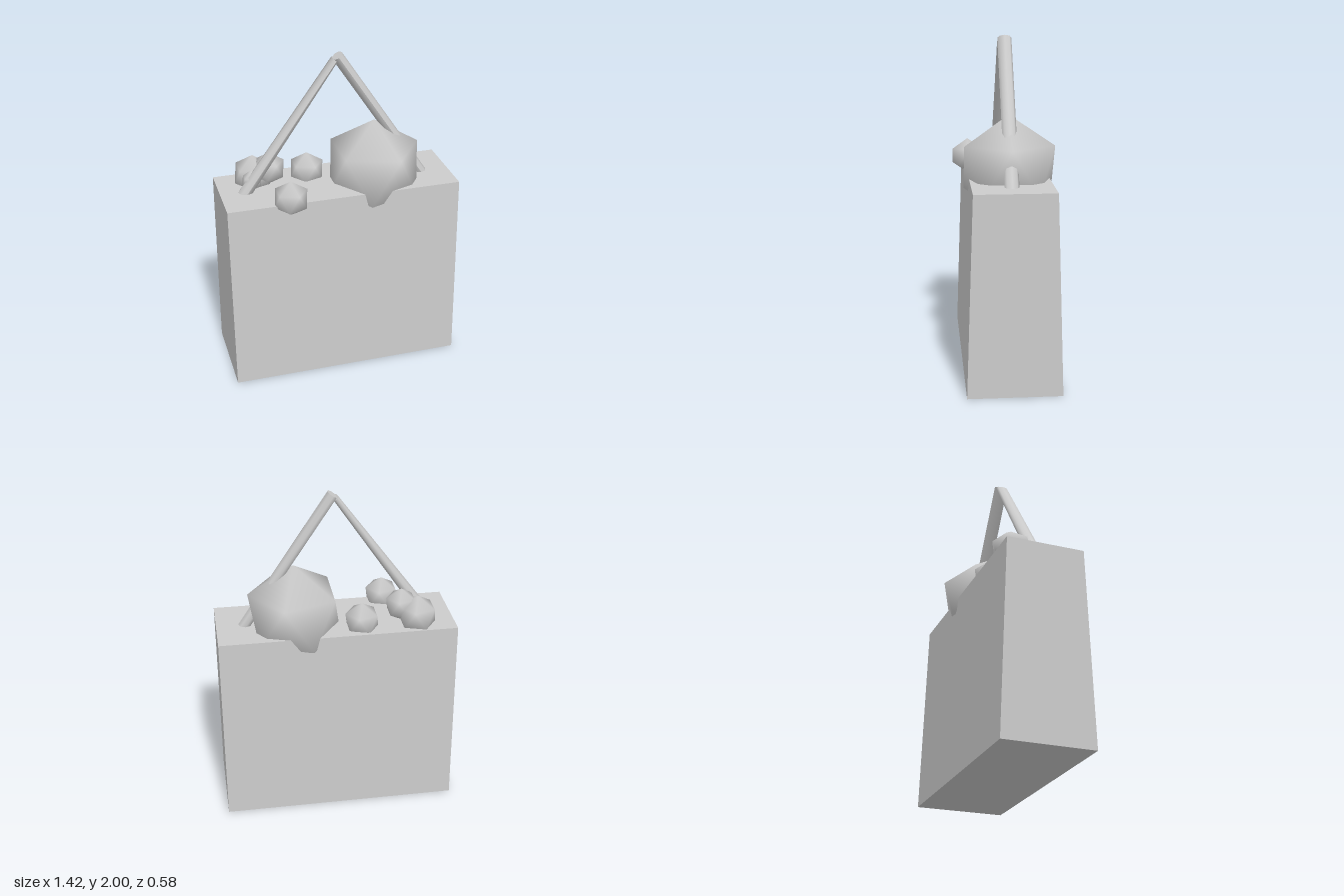
import * as THREE from 'three';
import { mergeVertices } from 'three/addons/utils/BufferGeometryUtils.js';

const material = new THREE.MeshStandardMaterial({ color: 0xcccccc });
const MID_Z = -0.02;

function addMesh(group, name, geometry) {
  const mesh = new THREE.Mesh(geometry, material);
  mesh.name = name;
  group.add(mesh);
  return mesh;
}

// Bag body: a box whose front and back lean inward toward the top
function bodyGeometry() {
  const height = 1.185;
  const geometry = new THREE.BoxGeometry(1.42, height, 0.55);
  const p = geometry.attributes.position;
  for (let i = 0; i < p.count; i++) {
    if (p.getY(i) > 0) p.setZ(i, p.getZ(i) * 0.855);
  }
  geometry.translate(0, height / 2, MID_Z);
  geometry.computeVertexNormals();
  return geometry;
}

// Smooth-shaded icosahedron standing on a vertex
function ballGeometry(radius) {
  let geometry = new THREE.IcosahedronGeometry(radius, 0);
  geometry.deleteAttribute('uv');
  geometry.deleteAttribute('normal');
  geometry = mergeVertices(geometry, 1e-4);
  geometry.rotateZ(-Math.atan2(1, (1 + Math.sqrt(5)) / 2));
  geometry.computeVertexNormals();
  return geometry;
}

// Straight strap from top to bottom: thickness tapers in the xy plane, depth stays even
function strapGeometry(top, bottom, topRadius, bottomRadius) {
  const dx = top[0] - bottom[0], dy = top[1] - bottom[1];
  const length = Math.hypot(dx, dy);
  const geometry = new THREE.CylinderGeometry(topRadius, bottomRadius, length, 8, 1);
  const p = geometry.attributes.position;
  for (let i = 0; i < p.count; i++) {
    const radius = p.getY(i) > 0 ? topRadius : bottomRadius;
    p.setZ(i, (p.getZ(i) / radius) * 0.042);
  }
  geometry.computeVertexNormals();
  geometry.rotateZ(-Math.atan2(dx, dy));
  geometry.translate((top[0] + bottom[0]) / 2, (top[1] + bottom[1]) / 2, -0.014);
  return geometry;
}

export function createModel() {
  const group = new THREE.Group();
  group.name = 'filledBag';

  addMesh(group, 'bagBody', bodyGeometry());

  // Handle: two straps meeting at a peak
  addMesh(group, 'leftStrap', strapGeometry([0.008, 1.98], [0.572, 1.13], 0.034, 0.034));
  addMesh(group, 'rightStrap', strapGeometry([-0.008, 1.96], [-0.592, 1.13], 0.018, 0.04));

  // Contents: one large ball and several small ones
  addMesh(group, 'largeBall', ballGeometry(0.309)).position.set(0.24, 1.245, MID_Z);
  const smallBalls = [
    [-0.33, 1.215, 0.195, 0.11],
    [-0.15, 1.222, -0.138, 0.112],
    [-0.485, 1.235, -0.14, 0.124],
    [-0.395, 1.285, -0.09, 0.102],
    [-0.51, 1.24, -0.045, 0.065],
  ];
  for (const [x, y, z, radius] of smallBalls) {
    addMesh(group, 'smallBall', ballGeometry(radius)).position.set(x, y, z);
  }

  return group;
}
